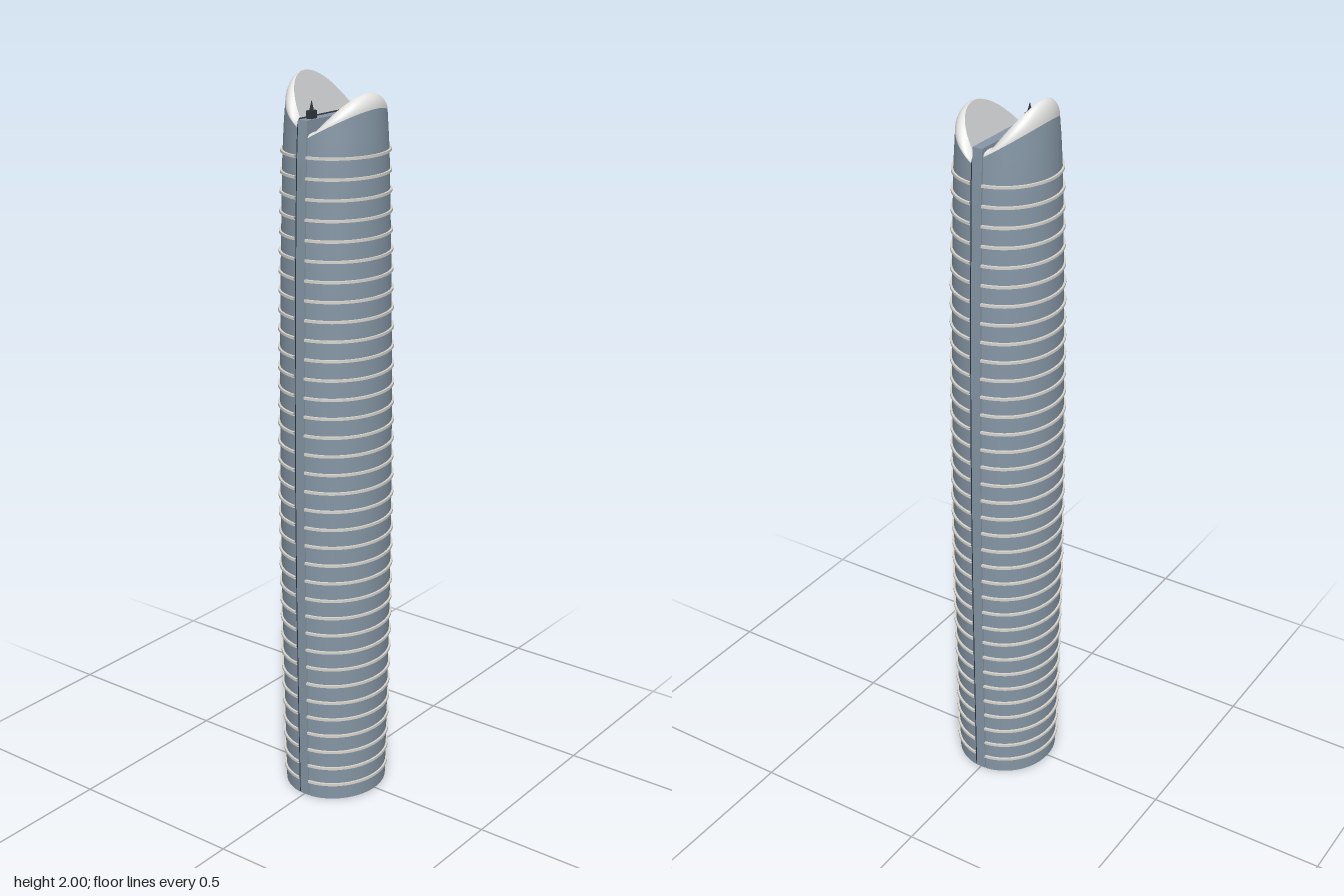
import * as THREE from 'three';

const material = (name, color) => {
  const m = new THREE.MeshStandardMaterial({ color, side: THREE.DoubleSide });
  m.name = name;
  return m;
};

// Tower half-width along x at height y; depth is a fixed fraction of it
const PROFILE = [[0, 0.148], [0.3, 0.153], [0.6, 0.157], [0.9, 0.158], [1.2, 0.156],
  [1.5, 0.151], [1.8, 0.143], [1.9, 0.137], [1.96, 0.131]];
const DEPTH = 0.928;
const GAP = 0.017;
const SEGMENTS = 40;

function radius(y) {
  let i = 1;
  while (i < PROFILE.length - 1 && y > PROFILE[i][0]) i++;
  const [y0, r0] = PROFILE[i - 1];
  const [y1, r1] = PROFILE[i];
  return r0 + (r1 - r0) * (y - y0) / (y1 - y0);
}

// Surface over u, v in 0..1; flip reverses the facing
function surface(point, nu, nv, flip) {
  const pos = [];
  const idx = [];
  for (let j = 0; j <= nv; j++) {
    for (let i = 0; i <= nu; i++) pos.push(...point(i / nu, j / nv));
  }
  for (let j = 0; j < nv; j++) {
    for (let i = 0; i < nu; i++) {
      const a = j * (nu + 1) + i, b = a + 1, c = a + nu + 1, d = c + 1;
      if (flip) idx.push(a, b, d, a, d, c);
      else idx.push(a, d, b, a, c, d);
    }
  }
  const g = new THREE.BufferGeometry();
  g.setAttribute('position', new THREE.Float32BufferAttribute(pos, 3));
  g.setIndex(idx);
  g.computeVertexNormals();
  return g;
}

// Point on the half-ellipse wall, grown outward by extra
function wall(u, y, side, extra = 0) {
  const r = radius(y) + extra;
  const t0 = Math.asin(GAP / (r * DEPTH));
  const t = t0 + u * (Math.PI - 2 * t0);
  return [r * Math.cos(t), y, side * r * DEPTH * Math.sin(t)];
}

export function createModel() {
  const glass = material('blue grey glass', 0x8596a5);
  const fin = material('pale fin', 0xd6d3cc);
  const white = material('white roof rim', 0xe2e2e0);
  const grey = material('grey roof slope', 0xbfc0c1);
  const dark = material('dark trim', 0x30363c);

  const model = new THREE.Group();
  const add = (parent, name, geometry, mat) => {
    const mesh = new THREE.Mesh(geometry, mat);
    mesh.name = name;
    parent.add(mesh);
    return mesh;
  };

  function towerHalf(name, side, valley, crest, eaves, eavesRise) {
    const half = new THREE.Group();
    half.name = name;
    model.add(half);
    const flip = side < 0;
    const inner = side > 0 ? 0.025 : 0.029;
    const eave = (u) => eaves + eavesRise * Math.sin(Math.PI * u);

    // Curved facade, its slit wall and its base
    add(half, 'facade', surface((u, v) => wall(u, v * eave(u), side), SEGMENTS, 40, !flip), glass);
    add(half, 'slitWall', surface((u, v) => {
      const p = wall(0, v * eaves, side);
      return [p[0] * (1 - 2 * u), p[1], p[2]];
    }, 1, 40, flip), dark);
    add(half, 'base', surface((u, v) => {
      const p = wall(u, 0, side);
      return [p[0], 0, side * GAP + (p[2] - side * GAP) * v];
    }, SEGMENTS, 1, !flip), glass);

    // Roof: rounded rim outside a crest line, then a slope down to the slit
    const crestZ = 0.1;
    const crestPoint = (u) => {
      const e = wall(u, eave(u), side);
      const z = Math.max(inner, Math.abs(e[2]) * crestZ / (radius(eave(0.5)) * DEPTH));
      const y = valley + (crest - valley) * (z - inner) / (crestZ - inner);
      return [e[0] * 0.83, y, side * z];
    };
    add(half, 'roofRim', surface((u, v) => {
      const e = wall(u, eave(u), side);
      const c = crestPoint(u);
      const a = v * Math.PI / 2;
      const k = Math.cos(a);
      return [c[0] + (e[0] - c[0]) * k, e[1] + (c[1] - e[1]) * Math.sin(a), c[2] + (e[2] - c[2]) * k];
    }, SEGMENTS, 8, !flip), white);
    add(half, 'roofSlope', surface((u, v) => {
      const c = crestPoint(u);
      return [c[0], c[1] + (valley - c[1]) * v, c[2] + (side * inner - c[2]) * v];
    }, SEGMENTS, 1, !flip), grey);

    // Dark lip between the slope and the slit
    const lip = wall(0, eaves, side)[0];
    add(half, 'slitLip', surface((u, v) => [
      (1 - 2 * u) * (lip * 0.83 + lip * 0.17 * v),
      valley + (eaves - valley) * v,
      side * (inner + (GAP - inner) * v)], 1, 1, !flip), dark);

    // Thin horizontal fins, one per floor
    const top = 0.0035;
    const faces = [[[0, -top], [0.006, -top]], [[0.006, -top], [0.006, top]], [[0.006, top], [0, top]]];
    const fins = new THREE.Group();
    fins.name = 'floorFins';
    half.add(fins);
    for (let i = 0; i < 35; i++) {
      const y = 0.047 + i * 0.05185;
      for (const [from, to] of faces) {
        add(fins, 'floorFin', surface((u, v) => {
          const p = wall(u, y, side, from[0] + (to[0] - from[0]) * v);
          p[1] += from[1] + (to[1] - from[1]) * v;
          return p;
        }, SEGMENTS, 1, !flip), fin);
      }
    }
  }

  towerHalf('frontHalf', 1, 1.872, 1.96, 1.858, 0.065);
  towerHalf('backHalf', -1, 1.9, 2.0, 1.88, 0.072);

  // Glass core showing in the slit
  const rows = Array.from({ length: 20 }, (_, i) => i * 0.1);
  const edge = (s) => rows.map((y) => new THREE.Vector2(s * (radius(y) - 0.001), y));
  const coreShape = new THREE.Shape([...edge(1), ...edge(-1).reverse()]);
  const core = new THREE.ExtrudeGeometry(coreShape, { depth: 0.028, bevelEnabled: false });
  core.translate(0, 0, -0.014);
  add(model, 'core', core, glass);

  // Small rooftop mast on the core
  add(model, 'roofMast', new THREE.BoxGeometry(0.024, 0.02, 0.016), dark).position.set(-0.1, 1.91, 0);
  const spike = add(model, 'roofMastTip', new THREE.ConeGeometry(0.008, 0.028, 4), dark);
  spike.position.set(-0.1, 1.932, 0);

  return model;
}
